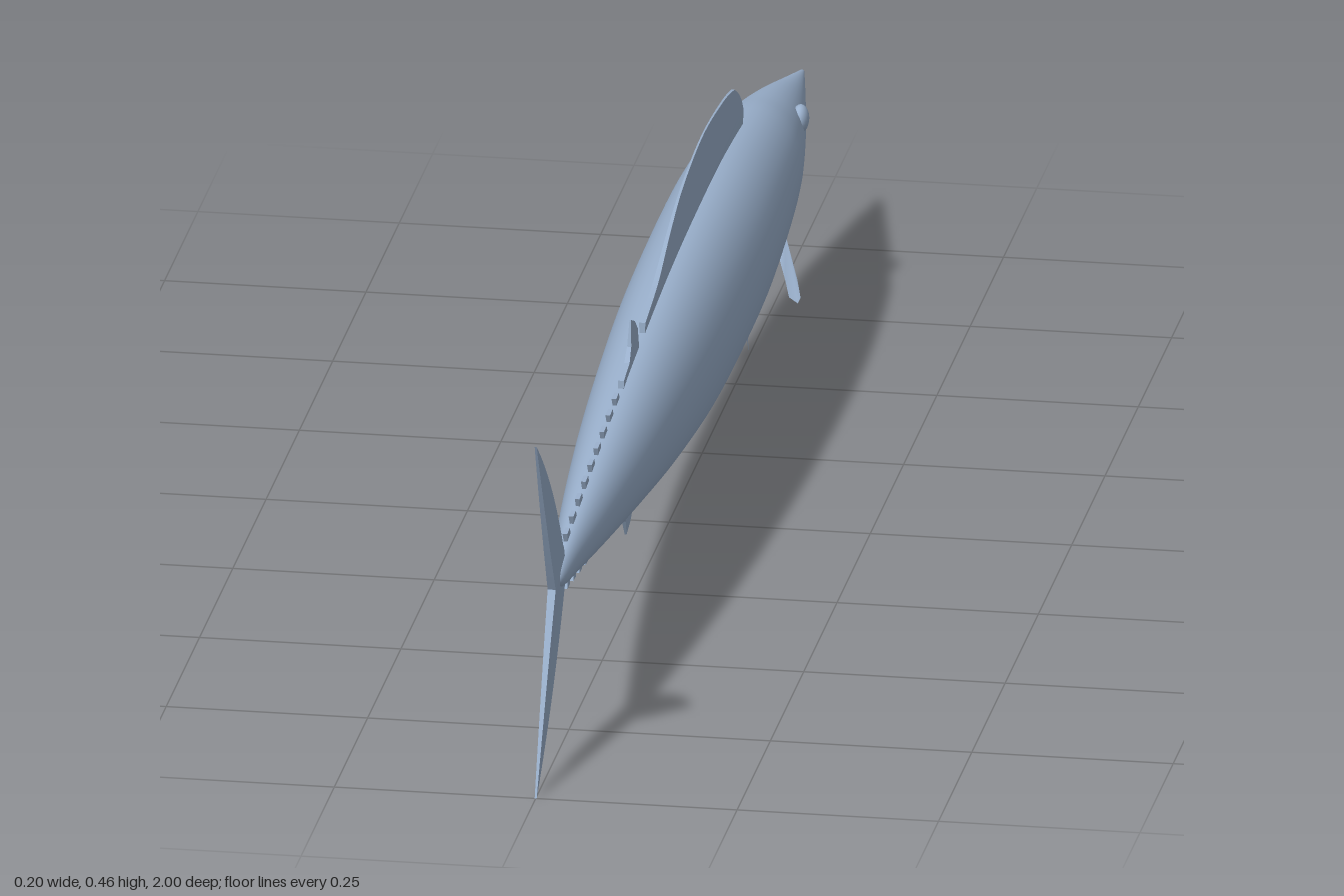
import * as THREE from 'three';

const skin = new THREE.MeshStandardMaterial({ color: 0x9ab0cc });
skin.name = 'blue grey skin';
const finSkin = new THREE.MeshStandardMaterial({ color: 0x9ab0cc, side: THREE.DoubleSide });
finSkin.name = 'blue grey fin';

// Body stations: z, top, bottom, half width
const STATIONS = [
  [-1, 0.232, 0.226, 0.003], [-0.9, 0.258, 0.205, 0.021], [-0.8, 0.284, 0.183, 0.038],
  [-0.7, 0.306, 0.162, 0.053], [-0.6, 0.323, 0.143, 0.063], [-0.4, 0.338, 0.121, 0.072],
  [-0.2, 0.34, 0.113, 0.073], [0, 0.335, 0.116, 0.07], [0.2, 0.321, 0.133, 0.062],
  [0.4, 0.302, 0.158, 0.05], [0.6, 0.28, 0.184, 0.034], [0.75, 0.26, 0.204, 0.019],
  [0.83, 0.247, 0.216, 0.011], [0.85, 0.234, 0.228, 0.002],
];

function section(z) {
  let i = 0;
  while (i < STATIONS.length - 2 && STATIONS[i + 1][0] < z) i++;
  const a = STATIONS[i], b = STATIONS[i + 1];
  const t = (z - a[0]) / (b[0] - a[0]);
  return a.map((v, k) => v + (b[k] - v) * t);
}

// Smooth oval loft along z
function bodyGeometry(sides = 36, rings = 60) {
  const path = [1, 2, 3].map(k =>
    new THREE.SplineCurve(STATIONS.map(s => new THREE.Vector2(s[0], s[k]))));
  const pos = [], idx = [];
  for (let i = 0; i <= rings; i++) {
    const [top, bottom, width] = path.map(c => c.getPoint(i / rings));
    const mid = (top.y + bottom.y) / 2, h = (top.y - bottom.y) / 2;
    for (let j = 0; j < sides; j++) {
      const a = (j / sides) * Math.PI * 2;
      pos.push(width.y * Math.cos(a), mid + h * Math.sin(a), top.x);
      if (i === rings) continue;
      const p = i * sides + j, q = i * sides + (j + 1) % sides;
      idx.push(p, q, q + sides, p, q + sides, p + sides);
    }
  }
  // Close nose and tail ends
  const last = rings * sides;
  for (let j = 1; j < sides - 1; j++) {
    idx.push(0, j + 1, j, last, last + j, last + j + 1);
  }
  const g = new THREE.BufferGeometry();
  g.setAttribute('position', new THREE.Float32BufferAttribute(pos, 3));
  g.setIndex(idx);
  g.computeVertexNormals();
  return g;
}

// Upright fin from a (z, y) outline, thinning away from the height rootY
function uprightFin(name, shape, rootY, reach, thick = 0.008) {
  const g = new THREE.ExtrudeGeometry(shape, { depth: thick, bevelEnabled: false, curveSegments: 10 });
  g.translate(0, 0, -thick / 2);
  g.rotateY(-Math.PI / 2);
  const p = g.attributes.position;
  for (let i = 0; i < p.count; i++) {
    const t = Math.min(1, Math.abs(p.getY(i) - rootY) / reach);
    p.setX(i, p.getX(i) * (1 - 0.75 * t));
  }
  g.computeVertexNormals();
  const m = new THREE.Mesh(g, skin);
  m.name = name;
  return m;
}

const outline = pts => new THREE.Shape(pts.map(p => new THREE.Vector2(...p)));

// Thin leaf-shaped fin from 3D outline points, fanned from the first
function sideFin(name, pts, side) {
  const g = new THREE.BufferGeometry();
  const idx = [];
  for (let i = 1; i < pts.length - 1; i++) idx.push(0, i, i + 1);
  g.setAttribute('position',
    new THREE.Float32BufferAttribute(pts.flatMap(([x, y, z]) => [x * side, y, z]), 3));
  g.setIndex(side > 0 ? idx : idx.reverse());
  g.computeVertexNormals();
  const m = new THREE.Mesh(g, finSkin);
  m.name = name;
  return m;
}

export function createModel() {
  const fish = new THREE.Group();
  fish.name = 'fish';
  const body = new THREE.Mesh(bodyGeometry(), skin);
  body.name = 'body';
  fish.add(body);

  // Long first dorsal fin
  const dorsal = new THREE.Shape();
  dorsal.moveTo(0.2, 0.3);
  dorsal.lineTo(0.2, 0.334);
  dorsal.splineThru([[0.1, 0.35], [0, 0.381], [-0.1, 0.404], [-0.25, 0.416], [-0.4, 0.406], [-0.48, 0.393]]
    .map(p => new THREE.Vector2(...p)));
  dorsal.quadraticCurveTo(-0.53, 0.37, -0.54, 0.345);
  dorsal.lineTo(-0.53, 0.3);
  fish.add(uprightFin('dorsalFin', dorsal, 0.33, 0.09));

  // Second dorsal and anal fins
  fish.add(uprightFin('secondDorsalFin', outline([[0.36, 0.295], [0.36, 0.316], [0.315, 0.323],
    [0.298, 0.338], [0.29, 0.37], [0.265, 0.36], [0.247, 0.344], [0.235, 0.295]]), 0.31, 0.06));
  fish.add(uprightFin('analFin', outline([[0.395, 0.17], [0.395, 0.148], [0.355, 0.14],
    [0.338, 0.125], [0.325, 0.103], [0.3, 0.111], [0.283, 0.125], [0.268, 0.17]]), 0.15, 0.05));

  // Rows of finlets above and below the tail stalk
  for (let i = 0; i < 10; i++) {
    const z = 0.375 + i * 0.046;
    const [, top] = section(z);
    fish.add(uprightFin('upperFinlet', outline([[z, top - 0.012], [z + 0.018, top + 0.008],
      [z + 0.038, top + 0.007], [z + 0.028, top - 0.014]]), top, 0.02));
    if (i === 0) continue;
    const [, , low] = section(z);
    fish.add(uprightFin('lowerFinlet', outline([[z, low + 0.012], [z + 0.018, low - 0.008],
      [z + 0.038, low - 0.007], [z + 0.028, low + 0.014]]), low, 0.02));
  }

  // Crescent tail
  const tail = new THREE.Shape();
  tail.moveTo(0.79, 0.231);
  tail.lineTo(0.81, 0.252);
  tail.quadraticCurveTo(0.88, 0.372, 1, 0.46);
  tail.quadraticCurveTo(0.94, 0.335, 0.88, 0.231);
  tail.quadraticCurveTo(0.94, 0.125, 1, 0.002);
  tail.quadraticCurveTo(0.88, 0.09, 0.81, 0.21);
  fish.add(uprightFin('tailFin', tail, 0.231, 0.23, 0.01));

  // Paired fins and eyes
  for (const side of [1, -1]) {
    fish.add(sideFin('pectoralFin', [[0.06, 0.198, -0.51], [0.077, 0.188, -0.455], [0.092, 0.175, -0.41],
      [0.101, 0.164, -0.378], [0.098, 0.158, -0.375], [0.083, 0.156, -0.4],
      [0.072, 0.162, -0.44], [0.058, 0.175, -0.48]], side));
    fish.add(sideFin('pelvicFin', [[0.018, 0.13, -0.47], [0.025, 0.115, -0.435],
      [0.038, 0.09, -0.37], [0.031, 0.106, -0.395], [0.022, 0.13, -0.42]], side));
    const eye = new THREE.Mesh(new THREE.SphereGeometry(0.018, 20, 14), skin);
    eye.name = 'eye';
    eye.scale.x = 0.6;
    eye.position.set(side * 0.04, 0.262, -0.745);
    fish.add(eye);
  }
  return fish;
}
